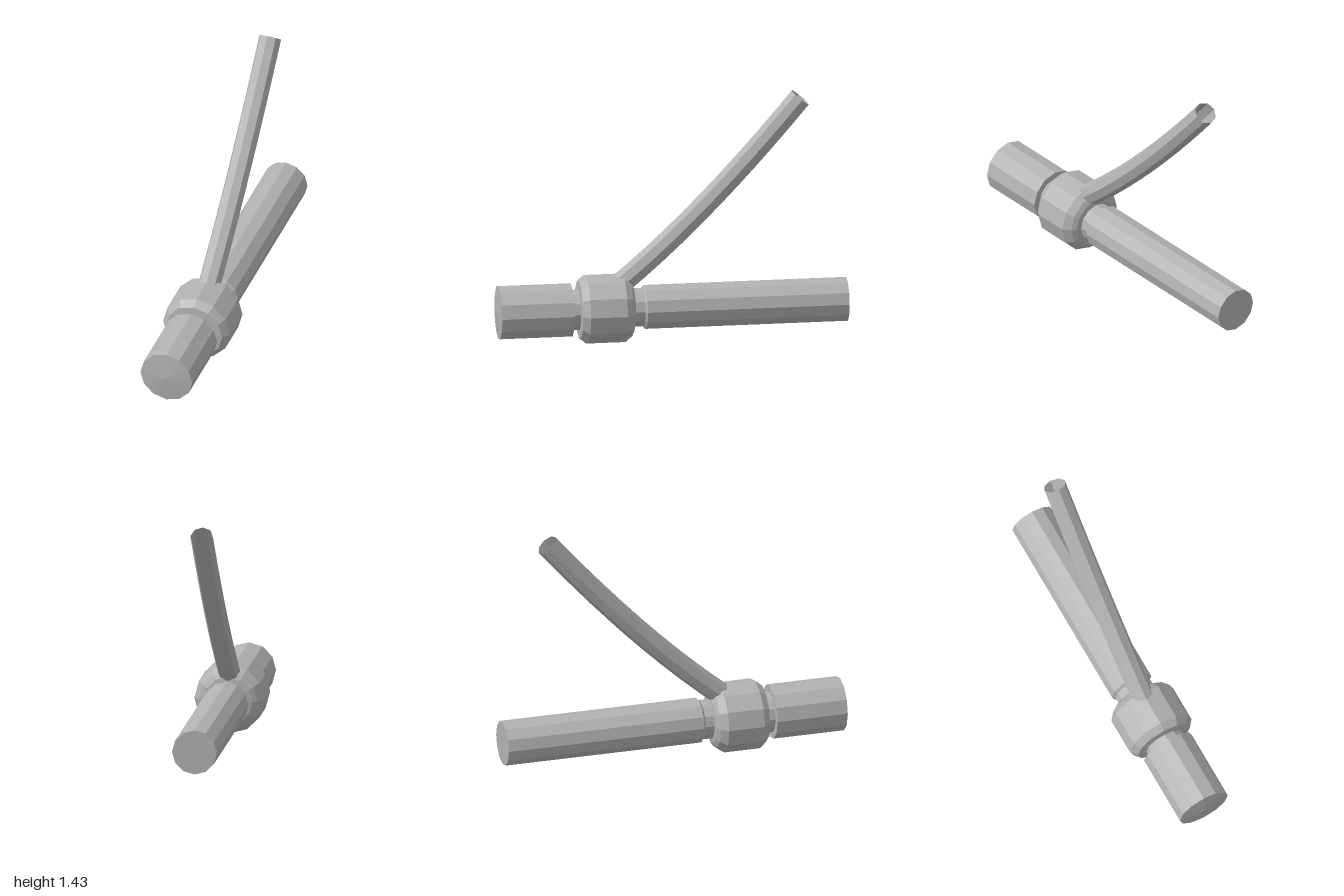
import * as THREE from 'three';

const CENTRE_Y = 0.2;

export function createModel() {
  const model = new THREE.Group();
  const grey = new THREE.MeshStandardMaterial({ color: 0xb2b2b2, flatShading: true, side: THREE.DoubleSide });
  grey.name = 'grey metal';

  // Twelve-sided turned part along z; profile is [radius, z] from back to front
  function turned(name, profile) {
    const points = profile.map(([r, z]) => new THREE.Vector2(r, z));
    const geometry = new THREE.LatheGeometry(points, 12);
    geometry.rotateX(Math.PI / 2);
    const mesh = new THREE.Mesh(geometry, grey);
    mesh.name = name;
    mesh.position.y = CENTRE_Y;
    model.add(mesh);
  }

  // Long rear pipe and its stepped neck
  turned('rearPipe', [[0, -1], [0.128, -1], [0.128, 0.15], [0.112, 0.162], [0.112, 0.23]]);

  // Chamfered collar
  turned('collar', [
    [0.11, 0.215], [0.14, 0.22], [0.168, 0.235], [0.2, 0.275],
    [0.2, 0.485], [0.168, 0.525], [0.118, 0.53],
  ]);

  // Front neck and grip with a slightly domed end
  turned('frontNeck', [[0.118, 0.52], [0.118, 0.58]]);
  turned('frontGrip', [[0.118, 0.572], [0.155, 0.572], [0.155, 0.985], [0, 1]]);

  // Curved lever: an open eight-sided tube rising backwards out of the collar
  const path = new THREE.CurvePath();
  const root = new THREE.Vector3(0, 0.357, 0.27);
  path.add(new THREE.LineCurve3(new THREE.Vector3(0, 0.316, 0.32), root));
  path.add(new THREE.QuadraticBezierCurve3(
    root,
    new THREE.Vector3(0, 0.737, -0.193),
    new THREE.Vector3(0, 1.39, -0.7375),
  ));
  const lever = new THREE.Mesh(new THREE.TubeGeometry(path, 10, 0.065, 8, false), grey);
  lever.name = 'lever';
  model.add(lever);

  return model;
}
